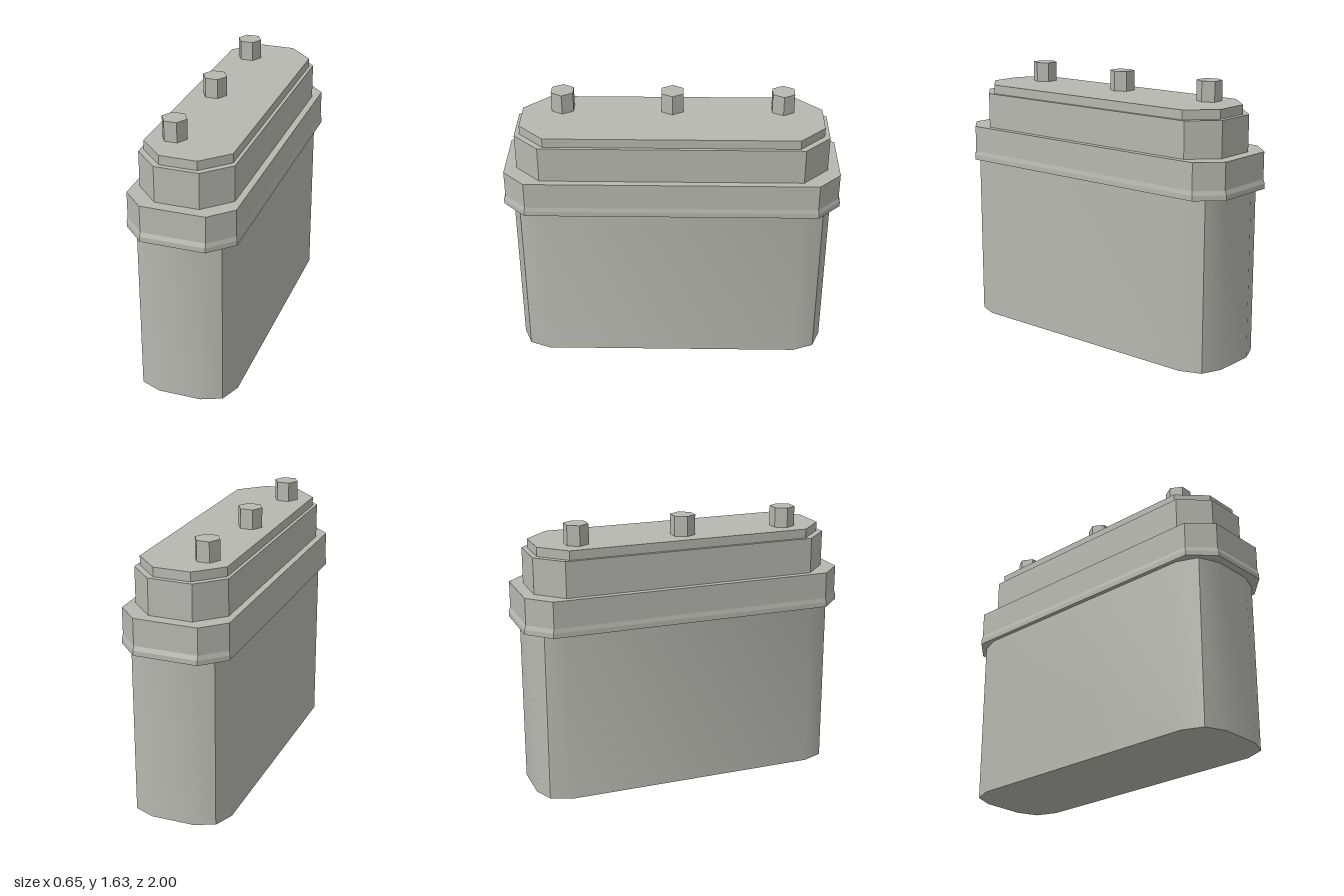
import * as THREE from 'three';
import { toCreasedNormals } from 'three/addons/utils/BufferGeometryUtils.js';

// Full outline [x, z] mirrored from the points of its +x +z corner (listed from +x to +z)
function outline(corner) {
  const back = [...corner].reverse();
  return [
    ...corner,
    ...back.map(([x, z]) => [-x, z]),
    ...corner.map(([x, z]) => [-x, -z]),
    ...back.map(([x, z]) => [x, -z]),
  ];
}

// Rectangle with cut corners
const octagon = (hx, hz, cut) => outline([[hx, hz - cut], [hx - cut, hz]]);

// Closed solid through rings of equal point count: [y, outline], bottom to top
function loft(rings, crease) {
  const pos = [];
  const n = rings[0][1].length;
  const at = (r, i) => {
    const [y, pts] = rings[r];
    const [x, z] = pts[i % n];
    return [x, y, z];
  };
  const last = rings.length - 1;
  for (let i = 0; i < n; i++) {
    for (let r = 0; r < last; r++) {
      const a0 = at(r, i), b0 = at(r, i + 1), a1 = at(r + 1, i), b1 = at(r + 1, i + 1);
      pos.push(...a0, ...a1, ...b1, ...a0, ...b1, ...b0);
    }
    pos.push(0, rings[0][0], 0, ...at(0, i), ...at(0, i + 1));
    pos.push(0, rings[last][0], 0, ...at(last, i + 1), ...at(last, i));
  }
  const geo = new THREE.BufferGeometry();
  geo.setAttribute('position', new THREE.Float32BufferAttribute(pos, 3));
  geo.computeVertexNormals();
  return crease ? toCreasedNormals(geo, crease) : geo;
}

export function createModel() {
  const model = new THREE.Group();
  model.name = 'casing';
  const grey = new THREE.MeshStandardMaterial({ name: 'warm grey', color: 0xb8b8b2 });
  const add = (name, geo) => {
    const mesh = new THREE.Mesh(geo, grey);
    mesh.name = name;
    model.add(mesh);
    return mesh;
  };

  // Tall body: softly bowed sides meeting at a crease on each corner
  const bodyOutline = outline([[0.3, 0.775], [0.25, 0.9], [0.128, 0.95]]);
  add('body', loft([[0, bodyOutline], [1.03, bodyOutline]], 0.55));

  // Collar with a slightly flared lower lip
  const lip = octagon(0.325, 1.0, 0.135);
  const collar = octagon(0.32, 0.99, 0.13);
  add('collar', loft([[1.025, lip], [1.055, lip], [1.08, collar], [1.24, collar]]));

  // Stepped lid
  const step = octagon(0.28, 0.92, 0.15);
  add('lid', loft([[1.24, step], [1.455, step]]));
  const plate = octagon(0.26, 0.89, 0.15);
  add('topPlate', loft([[1.455, plate], [1.51, plate]]));

  // Row of hexagonal pins, set off centre
  for (const z of [-0.655, 0, 0.65]) {
    const pin = new THREE.CylinderGeometry(0.075, 0.075, 0.12, 6).toNonIndexed();
    pin.rotateY(Math.PI / 6);
    pin.computeVertexNormals();
    add('pin', pin).position.set(-0.11, 1.57, z);
  }
  return model;
}
